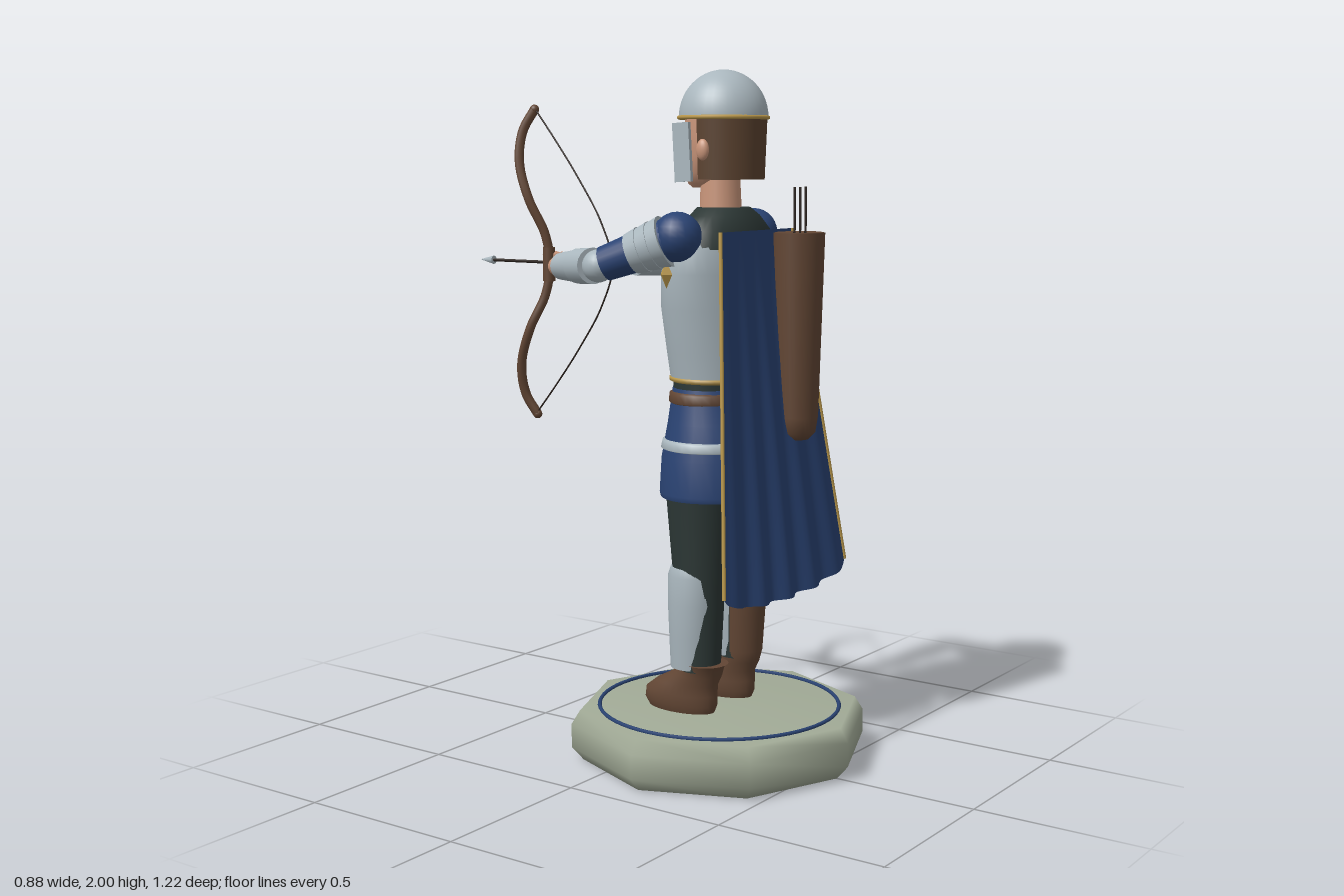
import * as THREE from 'three';

const mat = (name, color, side = THREE.FrontSide) =>
  Object.assign(new THREE.MeshStandardMaterial({ color, side }), { name });
const V = (x, y, z) => new THREE.Vector3(x, y, z);

export function createModel() {
  const model = new THREE.Group();
  const silver = mat('silver', 0xaab7be, THREE.DoubleSide);
  const navy = mat('navy cloth', 0x2a4373, THREE.DoubleSide);
  const gold = mat('gold', 0xb8964a);
  const leather = mat('leather', 0x624634);
  const hairBrown = mat('hair brown', 0x5c4330, THREE.DoubleSide);
  const skin = mat('skin', 0xca967b);
  const charcoal = mat('charcoal cloth', 0x2c3735);
  const stone = mat('stone', 0xa2ab97);
  const lip = mat('lip', 0x8f5548);
  const dark = mat('dark wood', 0x2b221d);

  const add = (name, geo, material, pos = [0, 0, 0], scale = [1, 1, 1], rot = [0, 0, 0]) => {
    const m = new THREE.Mesh(geo, material);
    m.name = name;
    m.position.set(...pos);
    m.scale.set(...scale);
    m.rotation.set(...rot);
    model.add(m);
    return m;
  };
  const ball = (name, material, pos, scale) =>
    add(name, new THREE.SphereGeometry(1, 20, 14), material, pos, scale);
  const tube = (name, points, r, material, seg = 32) =>
    add(name, new THREE.TubeGeometry(new THREE.CatmullRomCurve3(points), seg, r, 8), material);
  // Tapered cylinder between two points
  const limb = (name, a, b, r1, r2, material, sides = 20) => {
    const m = add(name, new THREE.CylinderGeometry(r2, r1, a.distanceTo(b), sides), material);
    m.position.copy(a).lerp(b, 0.5);
    m.quaternion.setFromUnitVectors(V(0, 1, 0), b.clone().sub(a).normalize());
    return m;
  };
  // Elliptical cross-sections [y, rx, rz, centreZ], rising; optional arc centred on the face side
  const loft = (name, sections, material, x = 0, arc = Math.PI * 2) => {
    const n = 32, pos = [], idx = [], closed = arc > 6.28;
    for (const [y, rx, rz, cz] of sections)
      for (let i = 0; i <= n; i++) {
        const a = Math.PI + (i / n - 0.5) * arc;
        pos.push(x + Math.sin(a) * rx, y, cz + Math.cos(a) * rz);
      }
    const w = n + 1, last = sections.length - 1;
    for (let j = 0; j < last; j++)
      for (let i = 0; i < n; i++) {
        const a = j * w + i, b = j * w + (closed ? (i + 1) % n : i + 1);
        idx.push(a, b, a + w, b, b + w, a + w);
      }
    if (closed)
      for (const [j, up] of [[0, false], [last, true]]) {
        const base = pos.length / 3, [y, , , cz] = sections[j];
        for (let i = 0; i < n; i++) pos.push(...pos.slice((j * w + i) * 3, (j * w + i) * 3 + 3));
        pos.push(x, y, cz);
        for (let i = 0; i < n; i++) {
          const p = base + i, q = base + (i + 1) % n;
          idx.push(...(up ? [base + n, p, q] : [base + n, q, p]));
        }
      }
    const g = new THREE.BufferGeometry();
    g.setAttribute('position', new THREE.Float32BufferAttribute(pos, 3));
    g.setIndex(idx);
    g.computeVertexNormals();
    return add(name, g, material);
  };

  // Octagonal stand with inlaid ring
  const profile = [[0, 0], [0.405, 0], [0.44, 0.04], [0.44, 0.11], [0.415, 0.15], [0, 0.152]];
  add('stand', new THREE.LatheGeometry(profile.map(p => new THREE.Vector2(...p)), 8), stone, [0, 0, 0.165]);
  add('standRing', new THREE.TorusGeometry(0.354, 0.006, 6, 64), navy, [0, 0.153, 0.165], [1, 1, 1], [Math.PI / 2, 0, 0]);

  // Legs, boots and greaves
  for (const s of [-1, 1]) {
    const x = 0.1 * s, top = s > 0 ? 0.44 : 0.3;
    loft('trouserLeg', [[0.28, 0.06, 0.06, 0.165], [0.45, 0.068, 0.068, 0.165], [0.6, 0.075, 0.08, 0.16],
      [0.82, 0.09, 0.1, 0.16]], charcoal, x);
    loft('boot', [[0.153, 0.056, 0.11, 0.1], [0.175, 0.064, 0.121, 0.098], [0.205, 0.064, 0.119, 0.1],
      [0.235, 0.06, 0.1, 0.12], [0.265, 0.058, 0.078, 0.155], [0.3, 0.06, 0.067, 0.175],
      [top + 0.001, 0.067, 0.066, 0.184]], leather, x);
    loft('greave', [[0.285, 0.064, 0.068, 0.143], [0.38, 0.074, 0.074, 0.147], [0.48, 0.082, 0.08, 0.15],
      [0.56, 0.08, 0.08, 0.15], [0.585, 0.072, 0.072, 0.15]], silver, x * 1.02, s > 0 ? Math.PI * 1.25 : Math.PI * 2);
  }

  // Skirt, belt and breastplate
  loft('skirt', [[0.785, 0.195, 0.16, 0.165], [0.8, 0.2, 0.162, 0.165], [0.9, 0.192, 0.158, 0.165],
    [1.0, 0.168, 0.137, 0.16], [1.1, 0.15, 0.118, 0.155]], navy);
  loft('skirtBand', [[0.925, 0.188, 0.15, 0.165], [0.928, 0.196, 0.159, 0.165], [0.95, 0.191, 0.154, 0.165],
    [0.954, 0.18, 0.145, 0.165]], silver);
  loft('waist', [[1.08, 0.148, 0.116, 0.155], [1.13, 0.148, 0.118, 0.157]], charcoal);
  loft('belt', [[1.055, 0.155, 0.12, 0.155], [1.06, 0.164, 0.127, 0.155], [1.085, 0.162, 0.126, 0.155],
    [1.09, 0.152, 0.117, 0.155]], leather);
  ball('buckle', gold, [0, 1.073, 0.03], [0.024, 0.022, 0.012]);
  loft('breastplate', [[1.125, 0.156, 0.13, 0.16], [1.2, 0.168, 0.136, 0.157], [1.33, 0.192, 0.141, 0.152],
    [1.43, 0.202, 0.138, 0.155], [1.5, 0.198, 0.124, 0.165], [1.55, 0.17, 0.1, 0.175]], silver);
  loft('breastplateRim', [[1.118, 0.154, 0.127, 0.16], [1.122, 0.161, 0.134, 0.16], [1.13, 0.161, 0.134, 0.16],
    [1.134, 0.155, 0.128, 0.16]], gold);
  loft('collar', [[1.5, 0.19, 0.115, 0.176], [1.55, 0.175, 0.105, 0.178], [1.59, 0.125, 0.088, 0.178],
    [1.613, 0.085, 0.072, 0.175]], charcoal);
  ball('chestEmblem', gold, [0, 1.305, 0.008], [0.045, 0.095, 0.012]);
  for (const s of [-1, 1])
    add('sideOrnament', new THREE.OctahedronGeometry(0.04), gold, [0.205 * s, 1.43, 0.12], [0.5, 1, 0.5]);

  // Cape with rippled hem
  const capePoint = (u, t) => {
    const half = 0.185 + 0.14 * t;
    return V(u * half, 1.55 - t * (0.99 + 0.055 * Math.sqrt(Math.max(0, 1 - u * u))),
      0.288 + 0.115 * t + 0.013 * t * Math.cos(u * 15) * (1 - 0.5 * u * u));
  };
  const capeGeo = new THREE.PlaneGeometry(2, 1, 48, 16), cp = capeGeo.attributes.position;
  for (let i = 0; i < cp.count; i++) cp.setXYZ(i, ...capePoint(cp.getX(i), 0.5 - cp.getY(i)).toArray());
  capeGeo.computeVertexNormals();
  add('cape', capeGeo, navy);
  for (const s of [-1, 1])
    tube('capeTrim', [0, 0.25, 0.5, 0.75, 1].map(t => capePoint(s, t)), 0.0055, gold);

  // Quiver and spare arrows
  const quiver = [[0, 0], [0.035, 0.004], [0.056, 0.025], [0.064, 0.07], [0.08, 0.6], [0.07, 0.602], [0, 0.595]];
  add('quiver', new THREE.LatheGeometry(quiver.map(p => new THREE.Vector2(...p)), 28), leather,
    [0.13, 0.94, 0.348], [1, 1, 0.9]);
  for (const x of [0.1, 0.13, 0.16])
    limb('spareArrow', V(x, 1.5, 0.35), V(x, 1.67, 0.35), 0.004, 0.004, dark, 6);

  // Head, hair and face
  limb('neck', V(0, 1.57, 0.165), V(0, 1.74, 0.162), 0.061, 0.055, skin);
  loft('head', [[1.668, 0.035, 0.03, 0.105], [1.68, 0.062, 0.055, 0.12], [1.71, 0.087, 0.082, 0.145],
    [1.76, 0.103, 0.103, 0.165], [1.82, 0.108, 0.109, 0.17], [1.88, 0.105, 0.108, 0.172]], skin);
  add('hair', new THREE.CylinderGeometry(0.121, 0.114, 0.18, 32, 1, false, -Math.PI * 0.54, Math.PI * 1.08),
    hairBrown, [0, 1.782, 0.177]);
  add('nose', new THREE.ConeGeometry(0.02, 0.062, 12), skin, [0, 1.785, 0.045], [1, 1, 1], [-1.25, 0, 0]);
  add('mouth', new THREE.BoxGeometry(0.042, 0.008, 0.008), lip, [0, 1.722, 0.067]);
  for (const s of [-1, 1]) {
    ball('ear', skin, [0.12 * s, 1.775, 0.183], [0.014, 0.03, 0.02]);
    add('eye', new THREE.BoxGeometry(0.032, 0.008, 0.008), dark, [0.042 * s, 1.803, 0.069], [1, 1, 1], [0, -0.38 * s, 0]);
    add('brow', new THREE.BoxGeometry(0.042, 0.009, 0.008), hairBrown, [0.042 * s, 1.828, 0.068], [1, 1, 1], [0, -0.38 * s, 0.08 * s]);
    add('cheekGuard', new THREE.BoxGeometry(0.012, 0.165, 0.055), silver, [0.117 * s, 1.768, 0.113], [1, 1, 1], [-0.06, 0, 0]);
  }

  // Helmet
  add('helmet', new THREE.SphereGeometry(0.13, 36, 14, 0, Math.PI * 2, 0, Math.PI / 2), silver, [0, 1.865, 0.173], [1, 1.03, 0.97]);
  add('helmetBase', new THREE.CircleGeometry(0.129, 36), silver, [0, 1.865, 0.173], [1, 0.97, 1], [Math.PI / 2, 0, 0]);
  add('helmetRim', new THREE.TorusGeometry(0.129, 0.006, 8, 40), gold, [0, 1.865, 0.173], [1, 0.97, 1], [Math.PI / 2, 0, 0]);

  // Arms with layered shoulder plates
  const arm = (shoulder, elbow, wrist, elbowMat) => {
    const at = t => shoulder.clone().lerp(elbow, t);
    const fore = t => elbow.clone().lerp(wrist, t);
    ball('shoulder', navy, shoulder.toArray(), [0.07, 0.07, 0.07]);
    limb('sleeve', at(0), at(0.92), 0.065, 0.05, navy);
    for (let i = 0; i < 3; i++)
      limb('shoulderPlate', at(0.14 + i * 0.14), at(0.29 + i * 0.14), 0.074 - i * 0.004, 0.067 - i * 0.004, silver);
    ball('elbow', elbowMat, elbow.toArray(), [0.047, 0.047, 0.047]);
    limb('bracer', fore(0.12), fore(0.45), 0.052, 0.051, silver);
    limb('bracer', fore(0.45), fore(0.85), 0.048, 0.04, silver);
    limb('wrist', fore(0.8), wrist, 0.034, 0.027, skin);
  };
  arm(V(-0.195, 1.535, 0.15), V(-0.262, 1.45, -0.075), V(-0.155, 1.435, -0.315), silver);
  arm(V(0.195, 1.535, 0.15), V(0.292, 1.45, -0.045), V(-0.135, 1.452, -0.095), skin);

  // Hands with curled fingers
  const hand = (x, y, z, palmX) => {
    ball('palm', skin, [palmX, y, z], [0.032, 0.038, 0.028]);
    for (let i = 0; i < 4; i++)
      add('finger', new THREE.TorusGeometry(0.025, 0.009, 8, 16, 4.8), skin, [x, y + 0.027 - i * 0.018, z - 0.008], [1, 1, 1], [Math.PI / 2, 0, 0.6]);
  };
  hand(-0.13, 1.44, -0.335, -0.135);
  hand(-0.155, 1.45, -0.11, -0.14);

  // Bow, string and nocked arrow
  const limbPts = [[-0.163, 0.09, -0.35], [-0.187, 0.19, -0.39], [-0.183, 0.3, -0.428],
    [-0.165, 0.39, -0.428], [-0.147, 0.452, -0.398]];
  const bowPts = [...limbPts.map(([x, y, z]) => V(x, 1.44 - y, z)).reverse(), V(-0.155, 1.44, -0.338),
    ...limbPts.map(([x, y, z]) => V(x, 1.44 + y, z))];
  tube('bow', bowPts, 0.014, leather, 60);
  for (const s of [-1, 1]) ball('bowTip', leather, [-0.147, 1.44 + 0.452 * s, -0.398], [0.014, 0.014, 0.014]);
  limb('bowGrip', V(-0.155, 1.39, -0.342), V(-0.155, 1.49, -0.342), 0.018, 0.018, leather);
  tube('bowString', [[0.45, -0.395], [0.36, -0.32], [0.25, -0.235], [0.12, -0.15], [0, -0.11], [-0.12, -0.15],
    [-0.25, -0.235], [-0.36, -0.32], [-0.45, -0.395]].map(([y, z]) => V(-0.15, 1.445 + y, z)), 0.0025, dark, 60);
  limb('arrowShaft', V(-0.15, 1.445, -0.09), V(-0.15, 1.445, -0.57), 0.0045, 0.0045, dark, 8);
  limb('arrowHead', V(-0.15, 1.445, -0.56), V(-0.15, 1.445, -0.61), 0.013, 0.001, silver, 8);
  return model;
}
